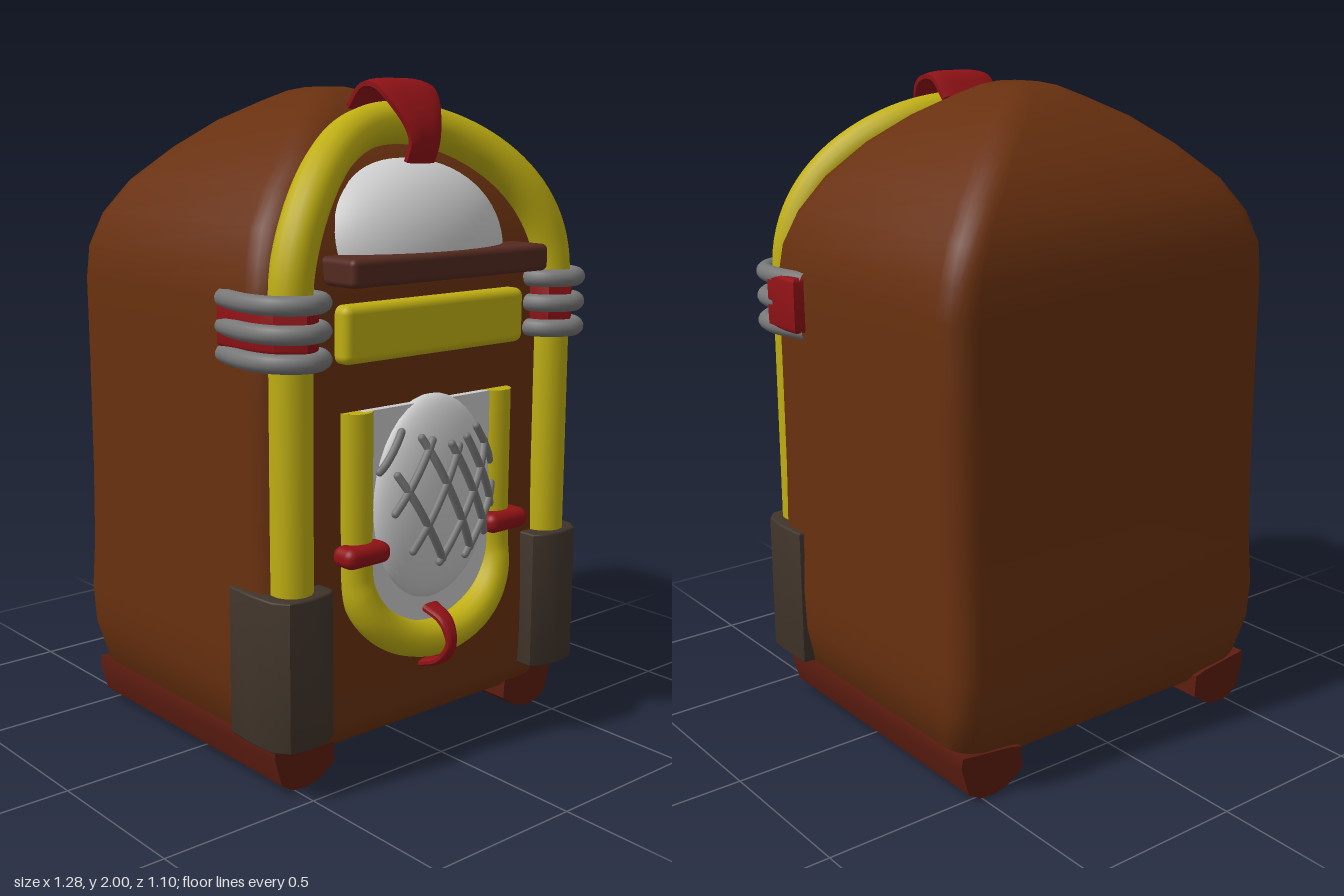
import * as THREE from 'three';
import { toCreasedNormals } from 'three/addons/utils/BufferGeometryUtils.js';
import { RoundedBoxGeometry } from 'three/addons/geometries/RoundedBoxGeometry.js';

const mat = (color) => new THREE.MeshStandardMaterial({ color, side: THREE.DoubleSide });
const V = (x, y, z) => new THREE.Vector3(x, y, z);

// Cabinet skin: rounded rectangles stacked in y; rows are [y, half width, front z, back z]
function cabinetGeometry(rows) {
  const pos = [], idx = [], per = 7, n = per * 4;
  for (const [y, hx, zf, zb] of rows) {
    const r = Math.min(0.08, hx * 0.5, (zf - zb) * 0.3);
    for (let c = 0; c < 4; c++) {
      const sx = c === 0 || c === 3 ? 1 : -1;
      const cz = c < 2 ? zf - r : zb + r;
      for (let k = 0; k < per; k++) {
        const a = (c + k / (per - 1)) * Math.PI / 2;
        pos.push(sx * (hx - r) + r * Math.cos(a), y, cz + r * Math.sin(a));
      }
    }
  }
  for (let j = 0; j < rows.length - 1; j++) {
    for (let i = 0; i < n; i++) {
      const a = j * n + i, b = j * n + (i + 1) % n;
      idx.push(a, a + n, b, b, a + n, b + n);
    }
  }
  const top = (rows.length - 1) * n;
  for (let i = 1; i < n - 1; i++) {
    idx.push(0, i, i + 1, top, top + i + 1, top + i);
  }
  const g = new THREE.BufferGeometry();
  g.setAttribute('position', new THREE.Float32BufferAttribute(pos, 3));
  g.setIndex(idx);
  g.computeVertexNormals();
  return toCreasedNormals(g, 0.9);
}

// Strap bent along a curve in the yz plane, with its half width given along the curve
function strapGeometry(points, halfWidth, thick) {
  const curve = new THREE.CatmullRomCurve3(points);
  const g = new THREE.BoxGeometry(1, 1, 1, 10, 24, 1);
  const p = g.attributes.position;
  for (let i = 0; i < p.count; i++) {
    const t = p.getY(i) + 0.5, u = p.getX(i) * 2;
    const c = curve.getPoint(t), T = curve.getTangent(t);
    const off = p.getZ(i) * thick * (1 - 0.6 * u ** 4);
    p.setXYZ(i, u * halfWidth(t), c.y - T.z * off, c.z + T.y * off);
  }
  return toCreasedNormals(g, 0.8);
}

// Vertical prism from an outline of [x, z] points; side = 1 or -1 mirrors it
function prism(outline, side, y0, y1, bevel) {
  const s = new THREE.Shape(outline.map(([x, z]) => new THREE.Vector2(x * side, z)));
  const g = new THREE.ExtrudeGeometry(s, {
    depth: y1 - y0 - 2 * bevel, bevelEnabled: bevel > 0,
    bevelSize: bevel, bevelThickness: bevel, bevelOffset: -bevel, bevelSegments: 3,
  });
  g.rotateX(Math.PI / 2).translate(0, y1 - bevel, 0);
  return toCreasedNormals(g, 0.7);
}

const tube = (pts, r, n = 64) => new THREE.TubeGeometry(new THREE.CatmullRomCurve3(pts), n, r, 14);

export function createModel() {
  const group = new THREE.Group();
  const wood = mat(0x68300f), yellow = mat(0xbfae12), red = mat(0x8f1216), metal = mat(0x777777);
  const dark = mat(0x40342a), shelfWood = mat(0x542a20), footWood = mat(0x5c1c10), pale = mat(0xcccccc);
  const add = (name, geo, m) => {
    const mesh = new THREE.Mesh(geo, m);
    mesh.name = name;
    group.add(mesh);
    return mesh;
  };

  // Domed cabinet
  add('cabinet', cabinetGeometry([
    [0.09, 0.5, 0.40, -0.48], [0.11, 0.54, 0.42, -0.5], [0.16, 0.575, 0.425, -0.52],
    [0.28, 0.6, 0.43, -0.55], [0.4, 0.605, 0.43, -0.556], [0.55, 0.6, 0.425, -0.545],
    [0.8, 0.598, 0.42, -0.54], [1.15, 0.598, 0.42, -0.54], [1.4, 0.6, 0.42, -0.54],
    [1.5, 0.588, 0.405, -0.54], [1.6, 0.548, 0.375, -0.52], [1.7, 0.475, 0.335, -0.475],
    [1.8, 0.365, 0.275, -0.395], [1.88, 0.26, 0.19, -0.31], [1.94, 0.15, 0.11, -0.22],
    [1.97, 0.08, 0.05, -0.16], [1.98, 0.04, 0.01, -0.11],
  ]), wood);

  // Foot rails running front to back
  for (const s of [1, -1]) {
    const prof = [[0.36, 0.12], [0.355, 0.05], [0.41, 0.012], [0.46, 0], [0.51, 0.005],
      [0.55, 0.03], [0.575, 0.12], [0.57, 0.15], [0.4, 0.13]];
    const shape = new THREE.Shape(prof.map(([x, y]) => new THREE.Vector2(x * s, y)));
    const g = new THREE.ExtrudeGeometry(shape, { depth: 0.94, bevelEnabled: false });
    add('footRail', toCreasedNormals(g.translate(0, 0, -0.52), 0.6), footWood);
  }

  // Light tube arching around the front, leaning back with the dome
  const arch = [];
  for (const y of [0.5, 0.75, 1, 1.2]) arch.push(V(0.515, y, 0.425));
  for (let i = 0; i <= 16; i++) {
    const a = i / 16 * Math.PI, h = Math.sin(a);
    arch.push(V(0.515 * Math.cos(a), 1.4 + 0.475 * h, 0.425 - 0.155 * h ** 3));
  }
  for (const y of [1.2, 1, 0.75, 0.5]) arch.push(V(-0.515, y, 0.425));
  add('archTube', tube(arch, 0.062, 120), yellow);

  // Strap over the top of the arch
  add('topClasp', strapGeometry(
    [V(0, 1.765, 0.375), V(0, 1.83, 0.395), V(0, 1.91, 0.365), V(0, 1.975, 0.305), V(0, 1.98, 0.24), V(0, 1.92, 0.18)],
    (t) => 0.055 + 0.052 * THREE.MathUtils.smoothstep(t, 0.15, 0.6), 0.034), red);

  // Corner brackets and clasps on both sides
  const bracket = [[0.41, 0.4], [0.41, 0.48], [0.44, 0.5], [0.51, 0.51], [0.58, 0.5],
    [0.612, 0.46], [0.62, 0.38], [0.615, 0.27], [0.57, 0.27], [0.55, 0.4]];
  const wrap = [[0.585, 0.22], [0.605, 0.3], [0.612, 0.38], [0.59, 0.46], [0.52, 0.512],
    [0.45, 0.482], [0.425, 0.43], [0.435, 0.38]];
  const band = [[0.57, 0.21], [0.605, 0.215], [0.61, 0.36], [0.59, 0.45], [0.52, 0.505],
    [0.455, 0.475], [0.43, 0.42], [0.44, 0.38], [0.56, 0.36]];
  const wideBand = band.map(([x, z], i) => (i === 1 || i === 2 ? [x + 0.028, z] : [x, z]));
  for (const s of [1, -1]) {
    add('cornerBracket', prism(bracket, s, 0.16, 0.6, 0.006), dark);
    add('claspBand', prism(s > 0 ? wideBand : band, s, s > 0 ? 1.25 : 1.27, s > 0 ? 1.42 : 1.4, 0.015), red);
    for (const y of [1.253, 1.33, 1.407]) {
      add('claspRing', tube(wrap.map(([x, z]) => V(x * s, y, z)), 0.027, 40), metal);
    }
  }

  // Display window, shelf and selector bar
  const dome = new THREE.SphereGeometry(1, 40, 16, 0, Math.PI * 2, 0, Math.PI / 2);
  dome.scale(0.365, 0.275, 0.21).translate(0, 1.5, 0.305);
  add('displayWindow', dome, pale);
  add('shelf', new RoundedBoxGeometry(0.77, 0.08, 0.18, 3, 0.018).translate(0, 1.48, 0.445), shelfWood);
  add('selectorBar', new RoundedBoxGeometry(0.71, 0.165, 0.1, 3, 0.025).translate(0, 1.303, 0.42), yellow);

  // Speaker panel with a bulging centre
  const panel = new THREE.Shape();
  panel.moveTo(-0.27, 1.08).lineTo(-0.27, 0.6);
  panel.absellipse(0, 0.6, 0.27, 0.22, Math.PI, Math.PI * 2, false);
  panel.lineTo(0.27, 1.08);
  add('speakerPanel', new THREE.ExtrudeGeometry(panel, { depth: 0.06, bevelEnabled: false, curveSegments: 24 })
    .translate(0, 0, 0.385), pale);
  const bulge = new THREE.SphereGeometry(1, 32, 20).scale(0.235, 0.31, 0.085).translate(0, 0.79, 0.435);
  add('speakerBulge', bulge, pale);

  // Crossed grille bars laid over the bulge: [x0, y0, x1, y1]
  const surfaceZ = (x, y) =>
    0.435 + 0.085 * Math.sqrt(Math.max(0, 1 - (x / 0.235) ** 2 - ((y - 0.79) / 0.31) ** 2));
  const bars = [
    [-0.217, 0.9, -0.148, 1.01], [-0.19, 0.78, -0.06, 0.98], [-0.13, 0.66, 0.04, 0.95],
    [-0.03, 0.61, 0.18, 0.94], [0.08, 0.61, 0.22, 0.8], [-0.18, 0.89, -0.02, 0.62],
    [-0.095, 0.99, 0.1, 0.63], [0.01, 0.96, 0.18, 0.66], [0.08, 0.97, 0.21, 0.74], [0.14, 0.99, 0.22, 0.87],
  ];
  for (const [x0, y0, x1, y1] of bars) {
    const pts = [];
    for (let i = 0; i <= 6; i++) {
      const x = x0 + (x1 - x0) * i / 6, y = y0 + (y1 - y0) * i / 6;
      pts.push(V(x, y, surfaceZ(x, y) + 0.008));
    }
    add('grilleBar', tube(pts, 0.012, 16), metal);
    for (const p of [pts[0], pts[6]]) {
      add('grilleBarEnd', new THREE.SphereGeometry(0.012, 10, 8).translate(p.x, p.y, p.z), metal);
    }
  }

  // U-shaped speaker frame
  const frame = [];
  for (const y of [1.08, 0.95, 0.8, 0.68]) frame.push(V(0.28, y, 0.415));
  for (let i = 0; i <= 14; i++) {
    const a = i / 14 * Math.PI, h = Math.sin(a);
    frame.push(V(0.28 * Math.cos(a), 0.58 - 0.215 * h, 0.42 + 0.055 * h));
  }
  for (const y of [0.68, 0.8, 0.95, 1.08]) frame.push(V(-0.28, y, 0.415));
  add('speakerFrame', tube(frame, 0.055, 100), yellow);

  // Frame end caps and side clips
  for (const s of [1, -1]) {
    add('frameCap', new THREE.CircleGeometry(0.055, 14).rotateX(-Math.PI / 2).translate(s * 0.28, 1.08, 0.415), yellow);
    add('sideClip', new RoundedBoxGeometry(0.165, 0.062, 0.09, 4, 0.028).translate(s * 0.285, 0.672, 0.458), red);
  }

  // Bow-shaped clip at the foot of the frame
  add('lowerClip', strapGeometry(
    [V(0, 0.27, 0.43), V(0, 0.3, 0.5), V(0, 0.36, 0.535), V(0, 0.42, 0.51), V(0, 0.45, 0.44)],
    (t) => 0.018 + 0.016 * Math.abs(2 * t - 1), 0.025), red);

  return group;
}
